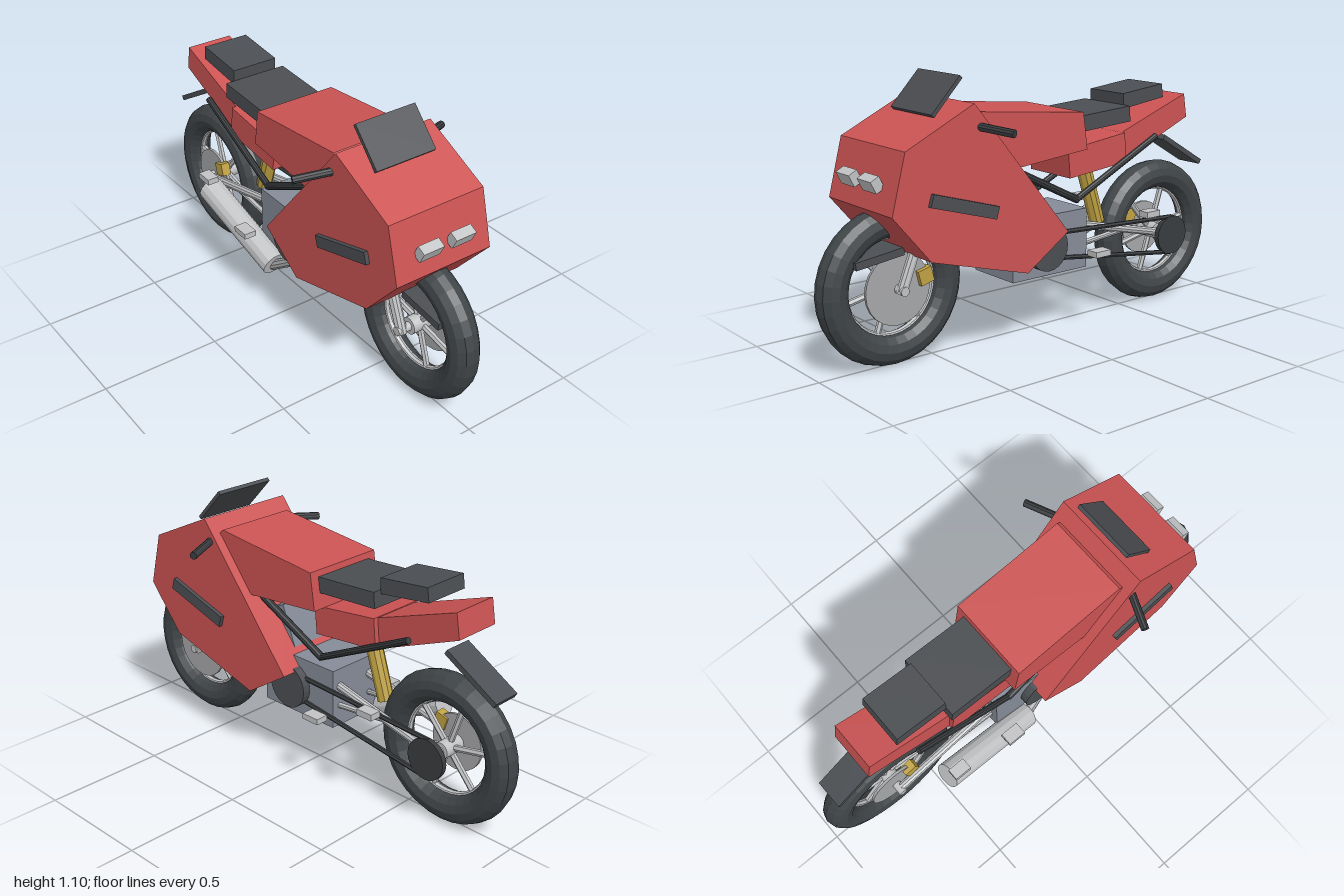
import * as THREE from 'three';

const paint = (name, color, flat = true) => {
  const m = new THREE.MeshStandardMaterial({ color, flatShading: flat });
  m.name = name;
  return m;
};

export function createModel() {
  const red = paint('red paint', 0xcc5353);
  const rubber = paint('tyre rubber', 0x3f4447);
  const dark = paint('dark plastic', 0x4b4e52);
  const black = paint('black frame', 0x393c3f);
  const engineGrey = paint('engine grey', 0x858c98);
  const silver = paint('silver metal', 0xc2c3c5);
  const discGrey = paint('brake disc grey', 0xa6a7a9);
  const gold = paint('gold metal', 0xc0a243);

  const model = new THREE.Group();
  model.name = 'motorcycle';

  const add = (name, geo, mat, parent = model) => {
    const mesh = new THREE.Mesh(geo, mat);
    mesh.name = name;
    parent.add(mesh);
    return mesh;
  };
  // Side outline extruded symmetrically across z
  const slab = (name, points, halfWidth, mat) => {
    const shape = new THREE.Shape(points.map(p => new THREE.Vector2(...p)));
    const geo = new THREE.ExtrudeGeometry(shape, { depth: halfWidth * 2, bevelEnabled: false });
    geo.translate(0, 0, -halfWidth);
    return add(name, geo, mat);
  };
  const box = (name, size, pos, tilt, mat, parent) => {
    const mesh = add(name, new THREE.BoxGeometry(...size), mat, parent);
    mesh.position.set(...pos);
    mesh.rotation.z = tilt;
    return mesh;
  };
  // Round bar between two points
  const rod = (name, a, b, r, mat, parent, r2 = r, sides = 10) => {
    const from = new THREE.Vector3(...a), to = new THREE.Vector3(...b);
    const dir = to.clone().sub(from);
    const mesh = add(name, new THREE.CylinderGeometry(r2, r, dir.length(), sides), mat, parent);
    mesh.position.copy(from).add(to).multiplyScalar(0.5);
    mesh.quaternion.setFromUnitVectors(new THREE.Vector3(0, 1, 0), dir.normalize());
    return mesh;
  };
  // Disc facing z
  const disc = (name, x, y, z, r, thick, mat, parent) =>
    rod(name, [x, y, z - thick / 2], [x, y, z + thick / 2], r, mat, parent, r, 24);

  // Wheels: the brake disc sits on one side only
  const wheel = (name, x, discSide, discRadius) => {
    const g = new THREE.Group();
    g.name = name;
    g.position.set(x, 0.315, 0);
    model.add(g);
    add('tyre', new THREE.TorusGeometry(0.251, 0.062, 12, 32), rubber, g);
    add('rim', new THREE.TorusGeometry(0.198, 0.016, 8, 32), silver, g);
    disc('hub', 0, 0, 0, 0.035, 0.1, silver, g);
    disc('axle', 0, 0, 0, 0.018, 0.22, silver, g);
    for (let i = 0; i < 6; i++) {
      const a = -0.2 + i * Math.PI / 3;
      rod('spoke', [0, 0, 0], [Math.cos(a) * 0.2, Math.sin(a) * 0.2, 0], 0.013, silver, g, 0.013, 6);
    }
    disc('brakeDisc', 0, 0, discSide * 0.055, discRadius, 0.012, discGrey, g);
  };
  wheel('frontWheel', 0.685, -1, 0.142);
  wheel('rearWheel', -0.685, 1, 0.118);
  box('frontCaliper', [0.06, 0.06, 0.04], [0.57, 0.348, -0.06], -0.25, gold);
  box('rearCaliper', [0.055, 0.055, 0.04], [-0.607, 0.382, 0.06], 0.3, gold);

  // Red bodywork
  slab('fairing', [[-0.015, 0.455], [0.19, 0.32], [0.64, 0.444], [0.805, 0.636],
    [0.745, 0.866], [0.44, 1.01]], 0.22, red);
  slab('tank', [[-0.147, 0.765], [0.21, 0.733], [0.4, 0.72], [0.4, 0.945],
    [0.375, 0.968], [-0.125, 0.918]], 0.18, red);
  slab('sidePanel', [[-0.415, 0.672], [-0.105, 0.642], [-0.094, 0.76], [-0.404, 0.797]], 0.125, red);
  slab('tail', [[-0.79, 0.823], [-0.415, 0.67], [-0.393, 0.79], [-0.773, 0.925]], 0.103, red);

  // Seats, screen and mudguards
  slab('seat', [[-0.42, 0.845], [-0.13, 0.828], [-0.13, 0.893], [-0.415, 0.91]], 0.14, dark);
  slab('pillionSeat', [[-0.645, 0.922], [-0.415, 0.893], [-0.413, 0.957], [-0.637, 0.98]], 0.102, dark);
  box('windscreen', [0.187, 0.016, 0.274], [0.503, 1.032, 0], -0.81, dark);
  box('rearMudguard', [0.27, 0.022, 0.124], [-0.815, 0.668, 0], 0.535, dark);
  box('frontMudguard', [0.21, 0.03, 0.14], [0.765, 0.447, 0], -0.12, dark);

  // Engine
  box('engineBlock', [0.385, 0.25, 0.25], [-0.003, 0.382, 0], 0, engineGrey);
  box('engineCylinder', [0.18, 0.3, 0.2], [0.139, 0.522, 0], -0.38, engineGrey);
  disc('clutchCover', 0.03, 0.38, 0, 0.095, 0.32, dark);

  // Rear shock absorber
  rod('shockAbsorber', [-0.365, 0.4, 0], [-0.27, 0.7, 0], 0.034, gold);

  // Paired parts
  for (const s of [1, -1]) {
    rod('fork', [0.69, 0.3, s * 0.086], [0.5, 0.77, s * 0.086], 0.022, silver);
    rod('handlebar', [0.43, 0.925, s * 0.17], [0.358, 0.906, s * 0.352], 0.016, black);
    box('sideVent', [0.31, 0.05, 0.03], [0.495, 0.633, s * 0.222], 0.29, dark);
    box('headlight', [0.04, 0.052, 0.094], [0.8, 0.738, s * 0.075], -0.48, silver);
    rod('swingArm', [-0.685, 0.315, s * 0.085], [-0.15, 0.44, s * 0.085], 0.018, silver);
    rod('swingArmBrace', [-0.45, 0.37, s * 0.085], [-0.15, 0.34, s * 0.085], 0.012, silver);
    rod('rearFrameTube', [-0.58, 0.765, s * 0.13], [-0.13, 0.55, s * 0.13], 0.014, black);
    rod('frontFrameTube', [-0.14, 0.55, s * 0.13], [0.25, 0.745, s * 0.13], 0.016, black);
    box('pillionPeg', [0.075, 0.026, 0.05], [-0.467, 0.46, s * 0.217], 0, silver);
    box('riderPeg', [0.08, 0.024, 0.055], [-0.185, 0.338, s * 0.217], 0, silver);
  }

  // Chain drive
  disc('rearSprocket', -0.685, 0.315, -0.128, 0.085, 0.022, black);
  for (const s of [1, -1])
    rod('chain', [-0.69, 0.315 + s * 0.08, -0.128], [0.02, 0.38 + s * 0.05, -0.128], 0.01, black, model, 0.01, 6);

  // Exhaust
  rod('muffler', [-0.06, 0.215, 0.158], [-0.51, 0.375, 0.185], 0.054, silver, model, 0.056, 14);
  rod('exhaustPipe', [-0.07, 0.205, 0.158], [0.12, 0.33, 0.115], 0.022, discGrey);

  return model;
}
